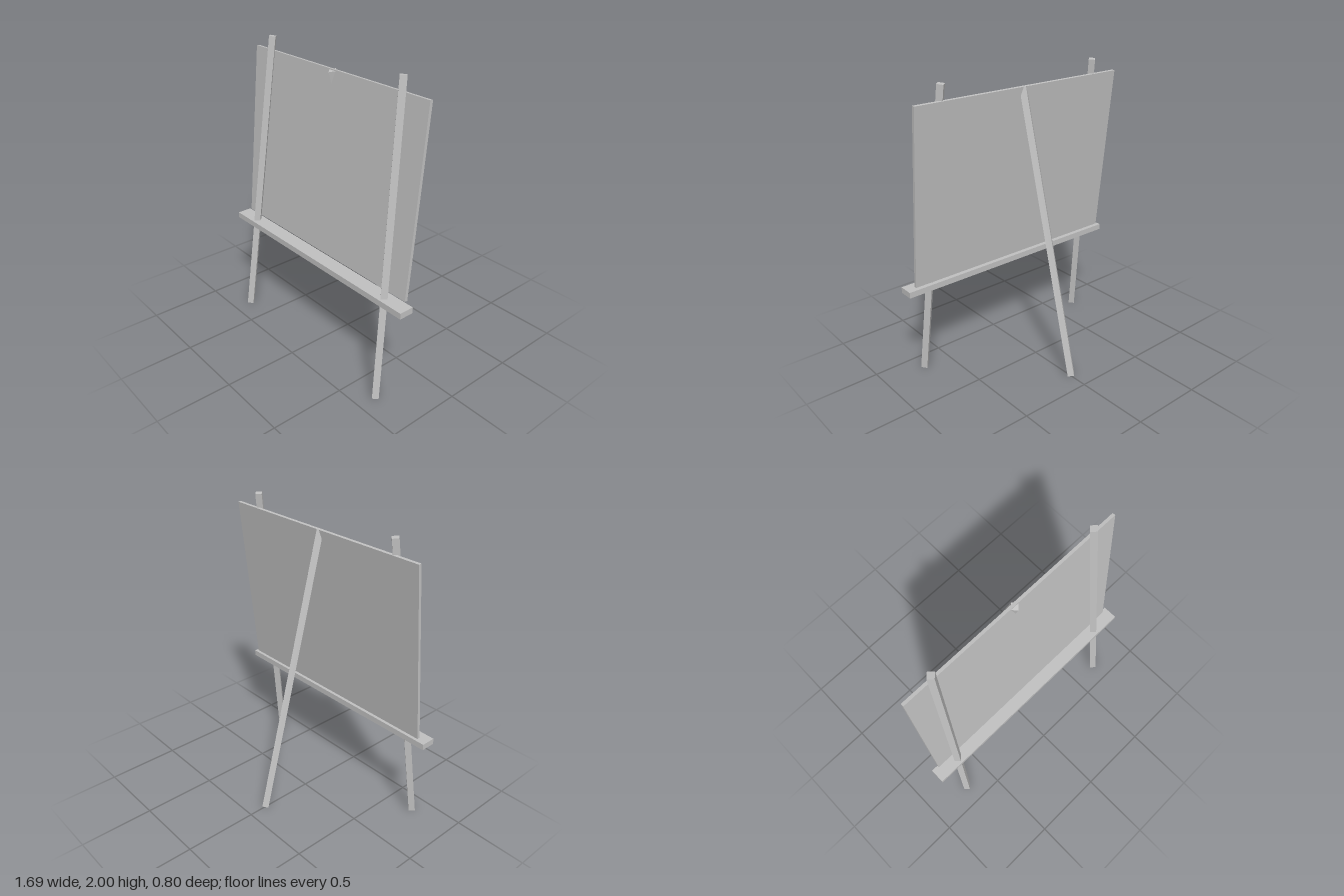
import * as THREE from 'three';

const grey = new THREE.MeshStandardMaterial({ color: 0xc0c0c0, flatShading: true });
grey.name = 'plain grey';

// Square pole with its edges facing the axes, running from a to b
function pole(name, a, b) {
  const from = new THREE.Vector3(...a);
  const to = new THREE.Vector3(...b);
  const dir = to.clone().sub(from);
  const mesh = new THREE.Mesh(new THREE.CylinderGeometry(0.03, 0.03, dir.length(), 4), grey);
  mesh.name = name;
  mesh.position.copy(from).add(to).multiplyScalar(0.5);
  mesh.quaternion.setFromUnitVectors(new THREE.Vector3(0, 1, 0), dir.normalize());
  return mesh;
}

function box(name, size, position) {
  const mesh = new THREE.Mesh(new THREE.BoxGeometry(...size), grey);
  mesh.name = name;
  mesh.position.set(...position);
  return mesh;
}

export function createModel() {
  const easel = new THREE.Group();
  easel.name = 'easel';

  // Two front legs leaning back and inwards
  for (const [side, s] of [['left', 1], ['right', -1]]) {
    easel.add(pole(`${side}FrontLeg`, [0.695 * s, 0.004, 0.37], [0.6 * s, 1.996, 0.125]));
  }

  // Rear leg, its tip poking through the top of the board
  easel.add(pole('rearLeg', [0, 0.008, -0.371], [0, 1.893, 0.121]));

  // Board leaning back behind the front legs
  const board = box('board', [1.595, 1.195, 0.02], [0, 1.305, 0.175]);
  board.rotation.x = -0.107;
  easel.add(board);

  // Level ledge crossing the front legs
  easel.add(box('ledge', [1.69, 0.04, 0.1], [0, 0.67, 0.28]));

  return easel;
}
